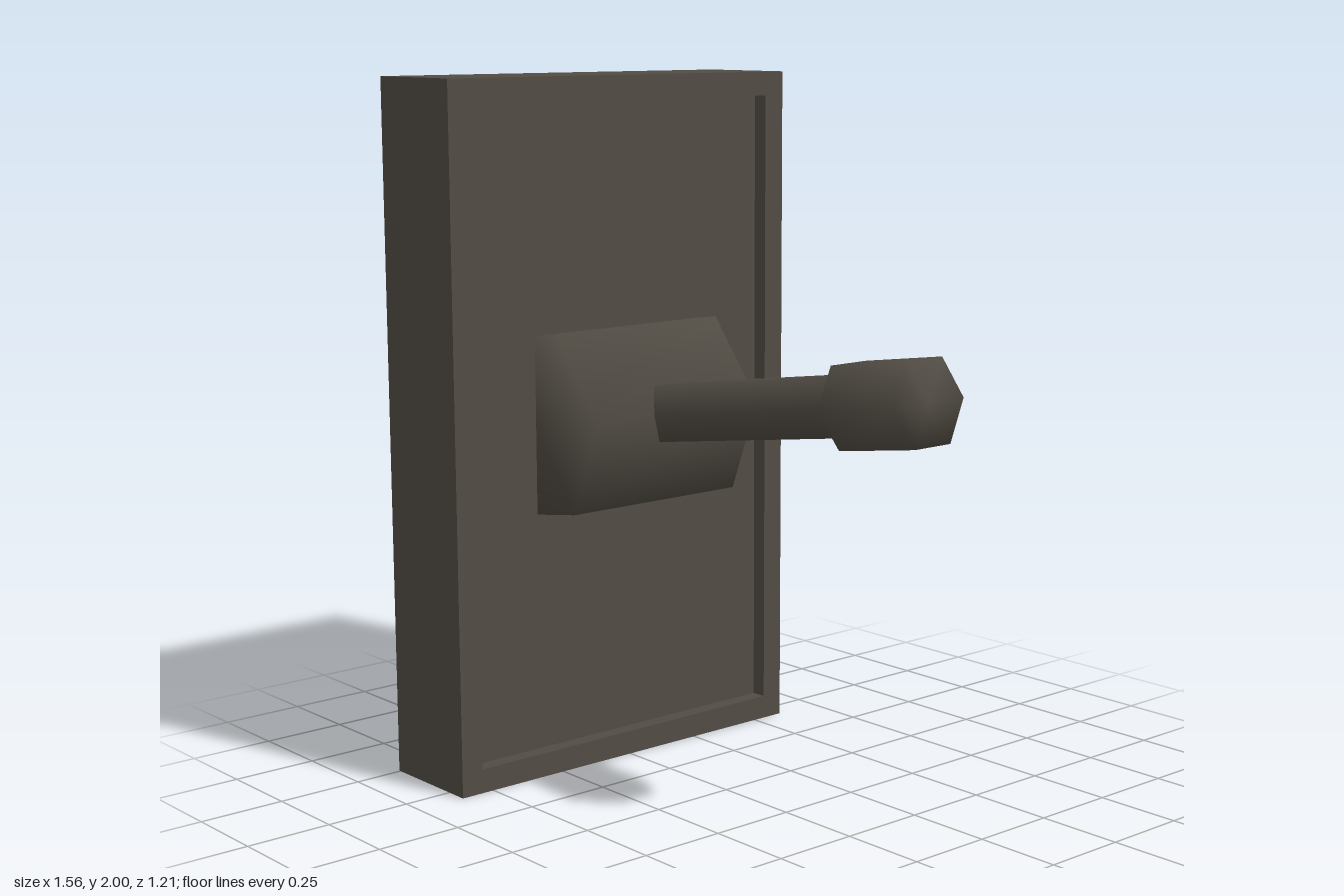
import * as THREE from 'three';

// Sheet built from rectangular rings along x: [x, half height, half depth]
function ringSheet(rings) {
  const corners = [[1, 1], [1, -1], [-1, -1], [-1, 1]];
  const at = (r, k) => [r[0], corners[k % 4][0] * r[1], corners[k % 4][1] * r[2]];
  const pos = [];
  for (let j = 0; j < rings.length - 1; j++) {
    for (let k = 0; k < 4; k++) {
      const a = at(rings[j], k), b = at(rings[j], k + 1);
      const c = at(rings[j + 1], k), d = at(rings[j + 1], k + 1);
      pos.push(...a, ...c, ...b);
      if (rings[j + 1][1] > 0) pos.push(...c, ...d, ...b);
    }
  }
  const g = new THREE.BufferGeometry();
  g.setAttribute('position', new THREE.Float32BufferAttribute(pos, 3));
  g.computeVertexNormals();
  return g;
}

// Smooth six-sided lathe from [radius, height] pairs
const hexLathe = (profile, start = 0) =>
  new THREE.LatheGeometry(profile.map(([r, h]) => new THREE.Vector2(r, h)), 6, start);

export function createModel() {
  const group = new THREE.Group();
  const darkMetal = new THREE.MeshStandardMaterial({ color: 0x514c44, side: THREE.DoubleSide });
  darkMetal.name = 'darkMetal';
  const add = (parent, name, geometry) => {
    const mesh = new THREE.Mesh(geometry, darkMetal);
    mesh.name = name;
    parent.add(mesh);
    return mesh;
  };

  // Wall plate: open back, raised rim and recessed panel
  const plate = add(group, 'wallPlate', ringSheet([
    [-0.755, 1, 0.605],
    [-0.433, 1, 0.605],
    [-0.433, 0.93, 0.537],
    [-0.48, 0.93, 0.537],
    [-0.48, 0, 0],
  ]));
  plate.position.y = 1;

  // Tilted lever turning about a pivot in the plate
  const lever = new THREE.Group();
  lever.name = 'lever';
  lever.position.set(-0.49, 1.02, 0);
  lever.rotation.z = 0.152;
  group.add(lever);

  // Hexagonal pivot drum, its two rear walls left open
  const R = 0.2935, H = 0.295;
  const drum = hexLathe([[0, -H], [R, -H], [R, H], [0, H]], Math.PI / 6);
  const index = Array.from(drum.index.array);
  drum.setIndex(index.filter((_, n) => {
    const sector = Math.floor(n / 18), band = Math.floor((n % 18) / 6);
    return !(band === 1 && (sector === 3 || sector === 4));
  }));
  drum.rotateX(Math.PI / 2);
  add(lever, 'pivotDrum', drum);

  // Shaft widening into the grip
  const handle = hexLathe([
    [0, -0.1], [0.092, -0.1], [0.092, 0.965], [0.128, 0.997], [0.128, 1.27], [0, 1.27],
  ]);
  handle.rotateZ(-Math.PI / 2);
  add(lever, 'handle', handle);

  return group;
}
